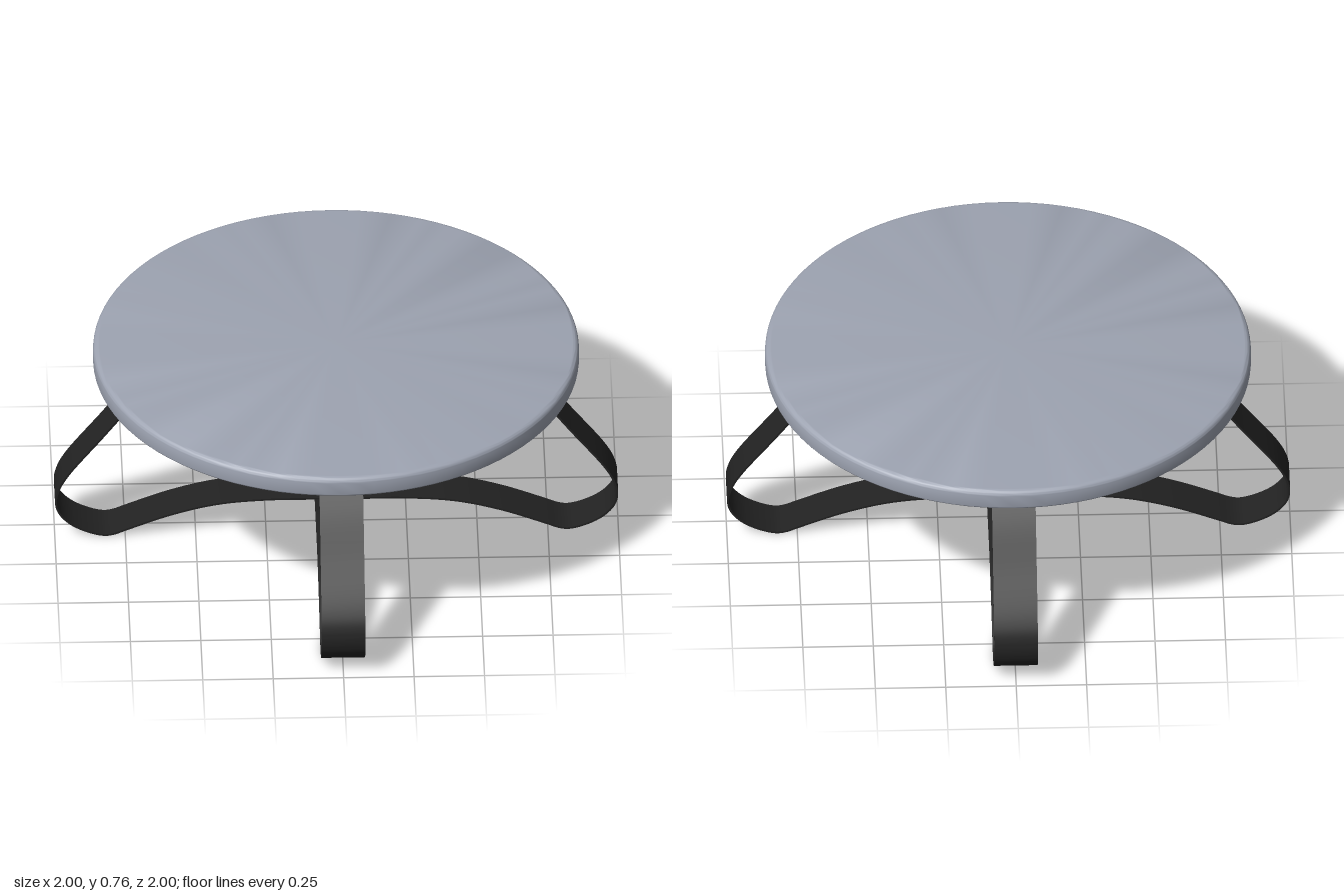
import * as THREE from 'three';
import { toCreasedNormals } from 'three/addons/utils/BufferGeometryUtils.js';

const WIDTH = 0.155, THICK = 0.007;

// Flat bar bent along a half profile that is mirrored about the middle
function strapGeometry(middleY) {
  const half = [
    [0.3, 0.678], [0.44, 0.678], [0.565, 0.678], [0.585, 0.674], [0.65, 0.626], [0.735, 0.543],
    [0.84, 0.409], [0.955, 0.258], [0.985, 0.2], [0.996, 0.145], [0.984, 0.1], [0.945, 0.055],
    [0.885, 0.021], [0.825, 0.0045], [0.79, 0.009], [0.745, 0.027], [0.585, 0.088],
    [0.425, 0.129], [0.25, middleY],
  ];
  const pts = [...half, [0, middleY], ...half.map(([x, y]) => [-x, y]).reverse()]
    .map(([x, y]) => new THREE.Vector3(x, y, 0));
  const curve = new THREE.CatmullRomCurve3(pts, false, 'centripetal');
  const outer = [], inner = [];
  const steps = 240;
  for (let i = 0; i <= steps; i++) {
    const p = curve.getPoint(i / steps), t = curve.getTangent(i / steps);
    const nx = -t.y * THICK / 2, ny = t.x * THICK / 2;
    outer.push(new THREE.Vector2(p.x + nx, p.y + ny));
    inner.push(new THREE.Vector2(p.x - nx, p.y - ny));
  }
  const shape = new THREE.Shape([...outer, ...inner.reverse()]);
  const geo = new THREE.ExtrudeGeometry(shape, { depth: WIDTH, bevelEnabled: false });
  geo.translate(0, 0, -WIDTH / 2);
  return toCreasedNormals(geo, 0.6);
}

export function createModel() {
  const model = new THREE.Group();
  const topMat = new THREE.MeshStandardMaterial({ color: 0x9da3b1 });
  topMat.name = 'blue grey top';
  const metal = new THREE.MeshStandardMaterial({ color: 0x222222 });
  metal.name = 'black metal';

  const add = (parent, name, geo, mat, x = 0, y = 0, z = 0) => {
    const mesh = new THREE.Mesh(geo, mat);
    mesh.name = name;
    mesh.position.set(x, y, z);
    parent.add(mesh);
    return mesh;
  };

  // Round top with softened rims
  const R = 0.862, Y0 = 0.682, Y1 = 0.757;
  const profile = [new THREE.Vector2(0, Y0)];
  const rim = (cy, r, from) => {
    for (let i = 0; i <= 8; i++) {
      const a = from + (i / 8) * Math.PI / 2;
      profile.push(new THREE.Vector2(R - r + r * Math.cos(a), cy + r * Math.sin(a)));
    }
  };
  rim(Y0 + 0.01, 0.01, -Math.PI / 2);
  rim(Y1 - 0.022, 0.022, 0);
  profile.push(new THREE.Vector2(0, Y1));
  add(model, 'tableTop', toCreasedNormals(new THREE.LatheGeometry(profile, 96), 0.5), topMat);

  // Two crossing straps, one resting on the other, each with screws under its tabs
  const screwGeo = new THREE.SphereGeometry(0.012, 16, 8, 0, Math.PI * 2, 0, Math.PI / 2);
  screwGeo.rotateX(Math.PI);
  [['crossStrap', 0.145, 0], ['lengthStrap', 0.138, Math.PI / 2]].forEach(([name, y, turn]) => {
    const leg = new THREE.Group();
    leg.name = name + 'Legs';
    leg.rotation.y = turn;
    add(leg, name, strapGeometry(y), metal);
    for (const x of [-0.46, -0.38, 0.38, 0.46]) add(leg, 'tabScrew', screwGeo, metal, x, 0.675, 0);
    model.add(leg);
  });

  // Bolt joining the straps where they cross
  add(model, 'centreBolt', new THREE.CylinderGeometry(0.012, 0.012, 0.018, 20), metal, 0, 0.143, 0);
  return model;
}
